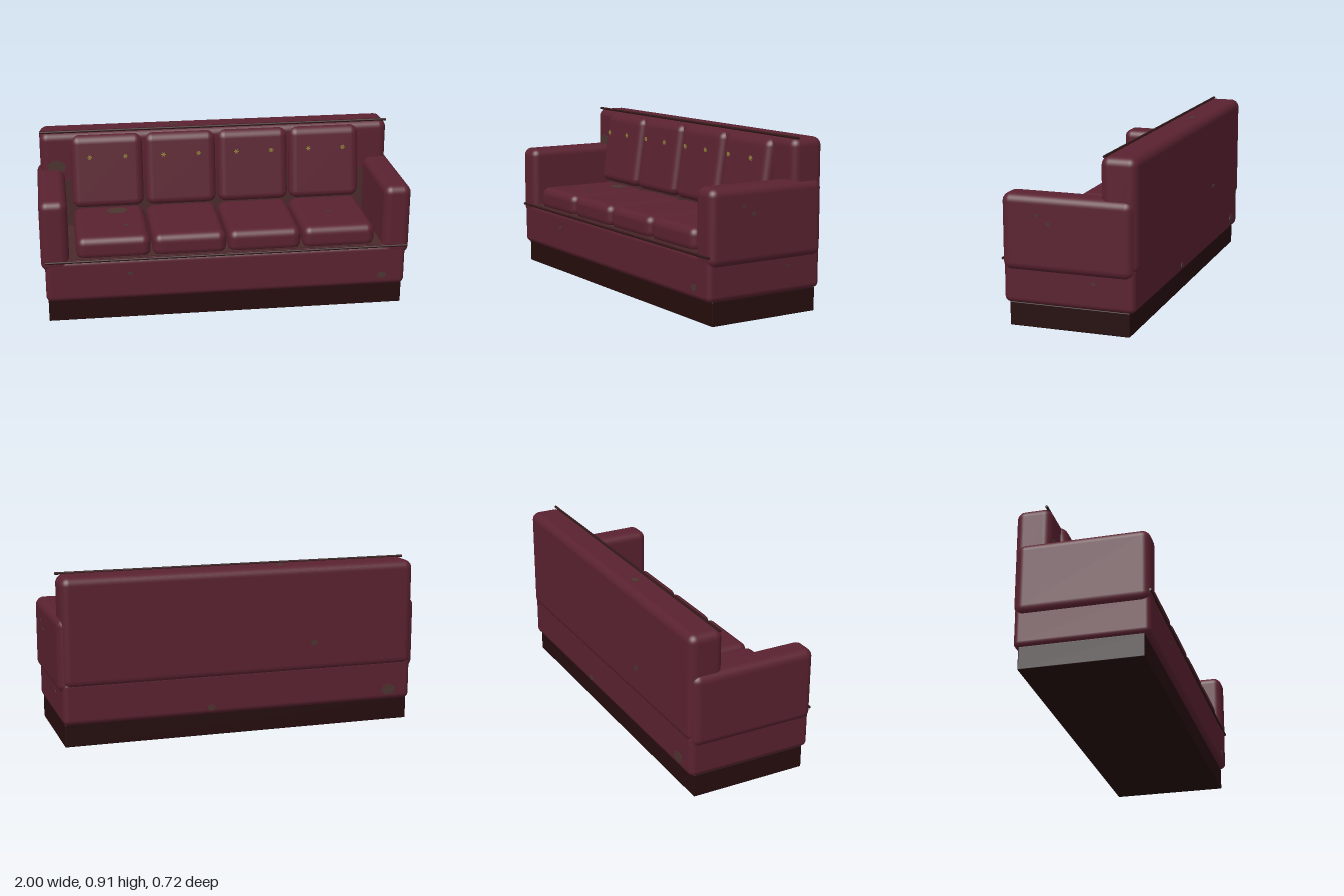
import * as THREE from 'three';
import { RoundedBoxGeometry } from 'three/addons/geometries/RoundedBoxGeometry.js';

const material = (name, color) => {
  const m = new THREE.MeshStandardMaterial({ color });
  m.name = name;
  return m;
};

export function createModel() {
  const model = new THREE.Group();
  model.name = 'sofa';
  const burgundy = material('burgundy leather', 0x5a2230);
  const darkWood = material('dark wood', 0x260d0d);
  const brown = material('brown lining', 0x4a2a2a);
  const piping = material('dark piping', 0x321818);
  const gold = material('dull gold', 0x8f7d38);
  const grime = material('worn leather', 0x4c3531);

  const add = (name, geometry, mat, x, y, z) => {
    const mesh = new THREE.Mesh(geometry, mat);
    mesh.name = name;
    mesh.position.set(x, y, z);
    model.add(mesh);
    return mesh;
  };
  // Rounded block given by its limits on each axis
  const block = (name, mat, [x0, x1], [y0, y1], [z0, z1], r) =>
    add(name, new RoundedBoxGeometry(x1 - x0, y1 - y0, z1 - z0, 5, r), mat,
      (x0 + x1) / 2, (y0 + y1) / 2, (z0 + z1) / 2);

  // Plinth, body and back
  block('plinth', darkWood, [-0.97, 0.97], [0, 0.125], [-0.32, 0.32], 0.005);
  block('base', burgundy, [-0.98, 0.98], [0.12, 0.355], [-0.347, 0.35], 0.03);
  block('backrest', burgundy, [-0.98, 0.98], [0.315, 0.902], [-0.357, -0.167], 0.045);

  // Lining seen in the gaps round the cushions
  add('seatDeck', new THREE.BoxGeometry(1.72, 0.008, 0.5), brown, 0, 0.355, 0.08);
  add('backLining', new THREE.BoxGeometry(1.72, 0.28, 0.008), brown, 0, 0.49, -0.165);

  // Arms
  for (const s of [-1, 1]) {
    const arm = block('arm', burgundy, [-0.075, 0.075], [0.293, 0.69], [-0.342, 0.351], 0.045);
    arm.position.x = s * 0.925;
  }

  // Seat and back cushions, with two buttons on each back cushion
  const seatShape = new RoundedBoxGeometry(0.397, 0.13, 0.5, 5, 0.045);
  const backShape = new RoundedBoxGeometry(0.397, 0.405, 0.12, 5, 0.045);
  backShape.applyMatrix4(new THREE.Matrix4().set(
    1, 0, 0, 0,
    0, 1, 0, 0,
    0, -0.15, 1, 0,
    0, 0, 0, 1));
  const studShape = new THREE.CylinderGeometry(0.008, 0.008, 0.007, 8).rotateX(Math.PI / 2);
  const rayShape = new THREE.BoxGeometry(0.026, 0.004, 0.005);
  for (const x of [-0.612, -0.204, 0.204, 0.612]) {
    add('seatCushion', seatShape, burgundy, x, 0.405, 0.08);
    add('backCushion', backShape, burgundy, x, 0.685, -0.173);
    for (const dx of [-0.098, 0.098]) {
      add('button', studShape, gold, x + dx, 0.78, -0.095);
      for (const turn of [0, Math.PI / 3, -Math.PI / 3]) {
        add('buttonRay', rayShape, gold, x + dx, 0.78, -0.095).rotation.z = turn;
      }
    }
  }

  // Piping along the top of the back and the front edge of the seat
  const cord = new THREE.CylinderGeometry(0.007, 0.007, 1.96, 10).rotateZ(Math.PI / 2);
  add('backPiping', cord, piping, 0, 0.903, -0.193);
  add('frontPiping', cord, piping, 0, 0.35, 0.35);

  // Worn patches: thin discs laid on the faces [x, y, z, radius, direction]
  const patch = new THREE.CylinderGeometry(1, 1, 0.004, 9).rotateX(Math.PI / 2);
  const marks = [
    [-0.53, 0.27, 0.35, 0.015, 'front'], [0.85, 0.18, 0.35, 0.025, 'front'],
    [-0.89, 0.71, -0.167, 0.05, 'front'],
    [1, 0.59, 0.155, 0.011, 'right'], [1, 0.55, 0.095, 0.014, 'right'],
    [0.98, 0.26, -0.135, 0.011, 'right'],
    [-0.23, 0.902, -0.27, 0.025, 'top'], [-0.57, 0.47, -0.07, 0.06, 'top'],
    [-0.53, 0.47, 0.15, 0.018, 'top'], [0.6, 0.47, 0.09, 0.015, 'top'],
    [-0.4, 0.48, -0.357, 0.02, 'back'], [0.18, 0.16, -0.347, 0.022, 'back'],
    [-0.85, 0.18, -0.347, 0.04, 'back'],
  ];
  const turns = { front: [0, 0], right: [0, Math.PI / 2], top: [-Math.PI / 2, 0], back: [0, Math.PI] };
  for (const [x, y, z, r, side] of marks) {
    const mark = add('wornPatch', patch, grime, x, y, z);
    mark.scale.set(r, r * 0.75, 1);
    mark.rotation.set(turns[side][0], turns[side][1], 0);
  }
  return model;
}
